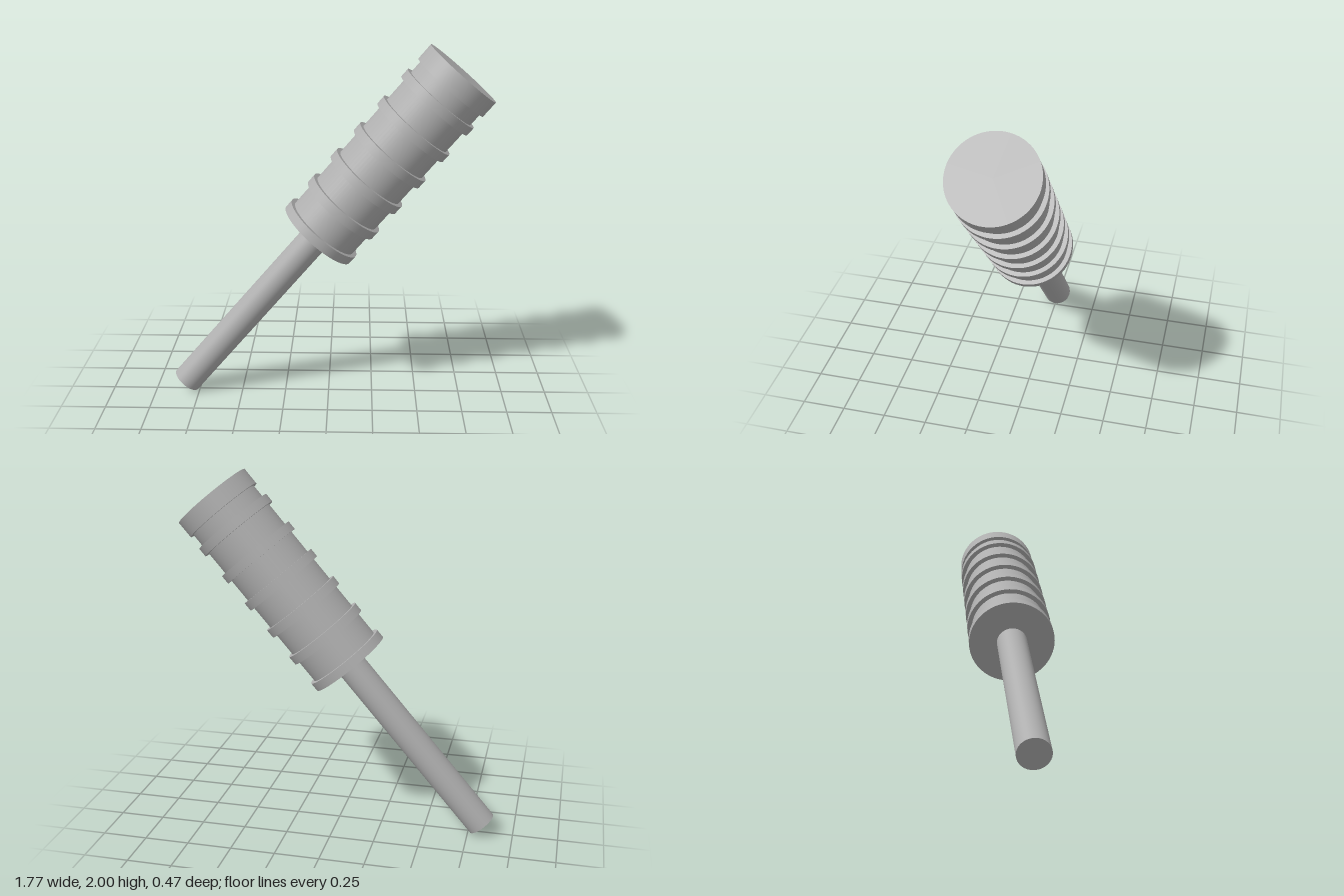
import * as THREE from 'three';

export function createModel() {
  const model = new THREE.Group();
  const tool = new THREE.Group();
  tool.name = 'tiltedMallet';
  const grey = new THREE.MeshStandardMaterial({ color: 0xb0b0b0 });
  grey.name = 'grey';

  // Cylinder spanning two distances along the shaft axis
  function addRod(name, radius, from, to) {
    const geometry = new THREE.CylinderGeometry(radius, radius, to - from, 64);
    geometry.translate(0, (from + to) / 2, 0);
    const mesh = new THREE.Mesh(geometry, grey);
    mesh.name = name;
    tool.add(mesh);
  }

  addRod('handle', 0.083, 0, 1.2);
  addRod('headBody', 0.211, 1.181, 2.3);

  // Evenly spaced raised bands around the head
  for (let i = 0; i < 6; i++) {
    const start = 1.179 + i * 0.191;
    addRod('band' + (i + 1), 0.235, start, start + 0.052);
  }

  addRod('endCap', 0.23, 2.263, 2.362);

  // Lean the whole piece toward +x, resting on the handle's lower rim
  tool.rotation.z = -THREE.MathUtils.degToRad(40.47);
  tool.position.set(-0.823, 0.054, 0);
  model.add(tool);
  return model;
}
